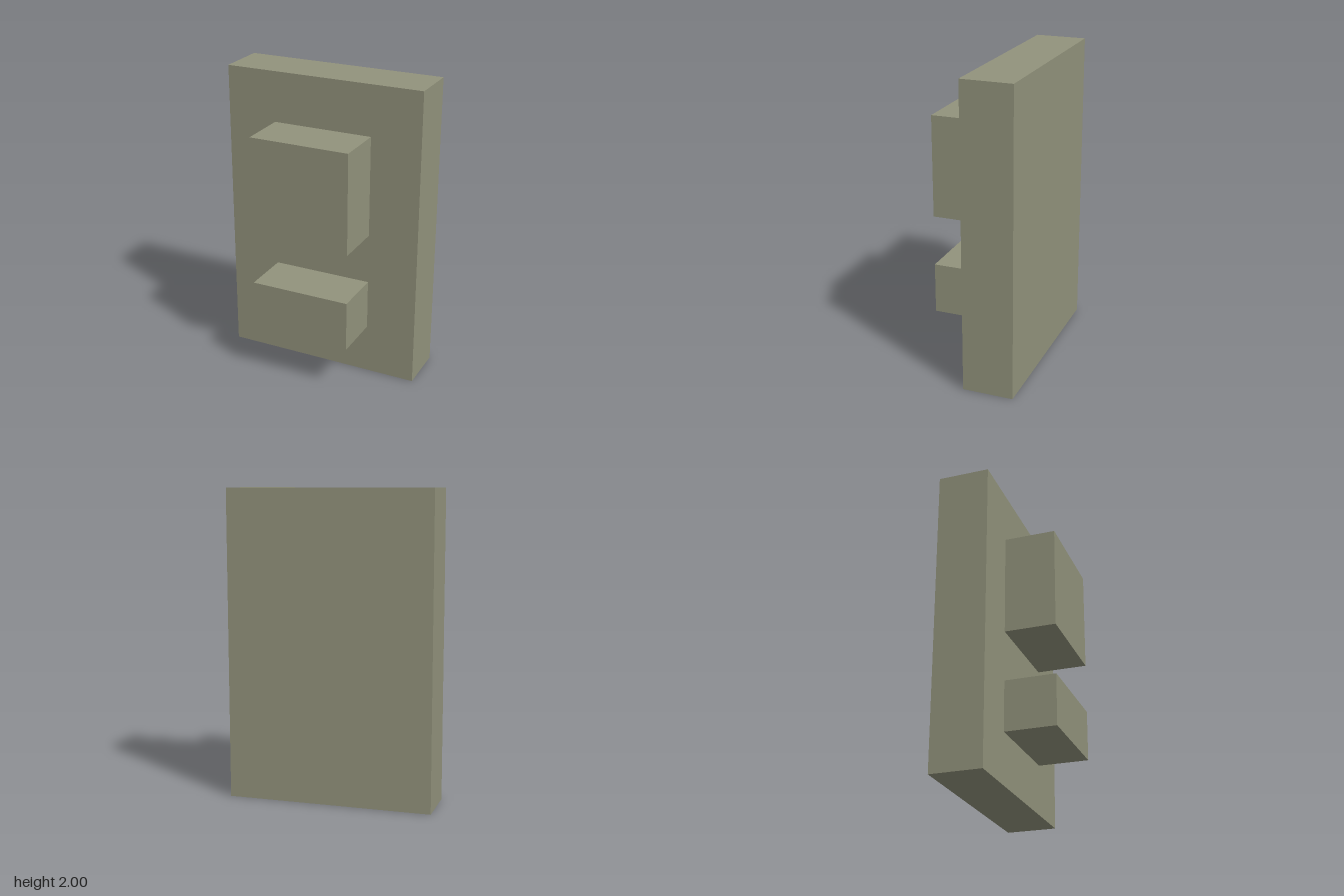
import * as THREE from 'three';

const U = 1 / 3; // all dimensions are multiples of one third

export function createModel() {
  const group = new THREE.Group();
  group.name = 'panelWithBlocks';
  const olive = new THREE.MeshStandardMaterial({ color: 0x92937c });
  olive.name = 'olive grey';

  // Box given by its size, bottom height and back z
  const addBox = (name, width, height, depth, bottom, back) => {
    const mesh = new THREE.Mesh(new THREE.BoxGeometry(width, height, depth), olive);
    mesh.name = name;
    mesh.position.set(0, bottom + height / 2, back + depth / 2);
    group.add(mesh);
  };

  // Upright slab behind, two blocks standing out from its front
  addBox('backPanel', 4 * U, 6 * U, U, 0, -U);
  addBox('upperBlock', 2 * U, 2 * U, U, 3 * U, 0);
  addBox('lowerBlock', 2 * U, U, U, U, 0);

  return group;
}
